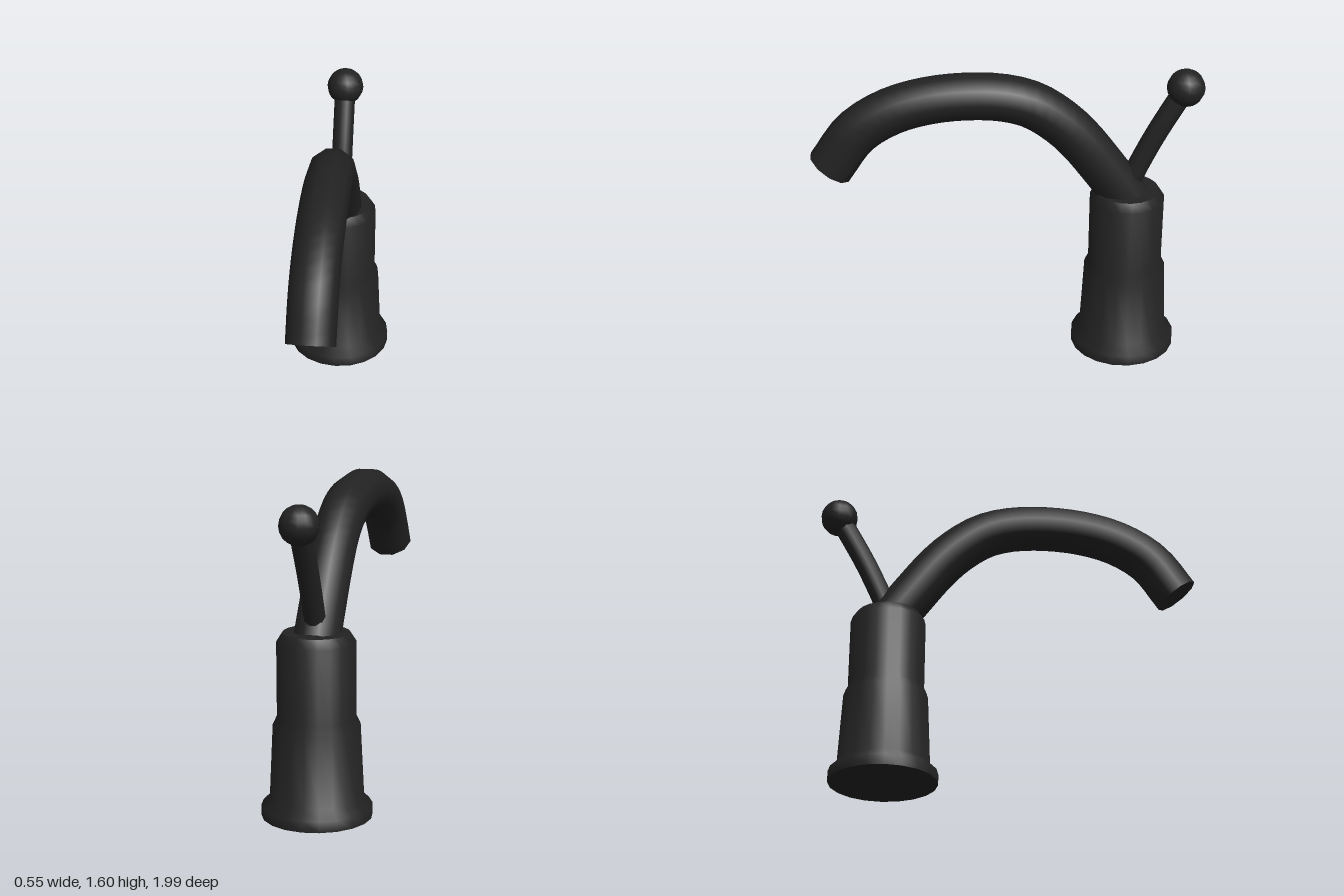
import * as THREE from 'three';
import { toCreasedNormals } from 'three/addons/utils/BufferGeometryUtils.js';

const BODY_Z = -0.625;

// smooth curve in the x = 0 plane from [z, y] pairs
function sideCurve(pairs) {
  return new THREE.CatmullRomCurve3(pairs.map(([z, y]) => new THREE.Vector3(0, y, z)));
}

export function createModel() {
  const model = new THREE.Group();
  const black = new THREE.MeshStandardMaterial({ color: 0x222222 });
  black.name = 'matte black';

  function add(name, geometry) {
    const mesh = new THREE.Mesh(geometry, black);
    mesh.name = name;
    model.add(mesh);
    return mesh;
  }

  // turned body: flange, tapered skirt, upper barrel with bevelled top
  const profile = [
    [0, 0], [0.275, 0], [0.275, 0.055], [0.233, 0.095], [0.215, 0.465],
    [0.194, 0.51], [0.194, 0.88], [0.165, 0.925], [0, 0.925],
  ].map(([r, y]) => new THREE.Vector2(r, y));
  const body = add('body', toCreasedNormals(new THREE.LatheGeometry(profile, 20), 1));
  body.position.z = BODY_Z;

  // arched spout with a closed outlet
  const spoutPath = sideCurve([
    [-0.625, 0.87], [-0.59, 0.925], [-0.48, 1.08], [-0.375, 1.218], [-0.27, 1.325],
    [-0.134, 1.42], [0.005, 1.465], [0.19, 1.481], [0.406, 1.463],
    [0.594, 1.408], [0.76, 1.302], [0.9, 1.11],
  ]);
  add('spout', new THREE.TubeGeometry(spoutPath, 30, 0.12, 10));
  const outlet = add('spoutOutlet', new THREE.CircleGeometry(0.12, 10));
  const end = spoutPath.getTangent(1);
  outlet.position.copy(spoutPath.getPoint(1));
  outlet.rotation.x = Math.atan2(-end.y, end.z);

  // slightly curved lever, closed at its foot, with a ball knob
  const leverPath = sideCurve([[-0.635, 0.96], [-0.668, 1.04], [-0.758, 1.23], [-0.86, 1.415], [-0.895, 1.475]]);
  add('lever', new THREE.TubeGeometry(leverPath, 12, 0.055, 10));
  const foot = add('leverFoot', new THREE.CircleGeometry(0.055, 10));
  const start = leverPath.getTangent(0).negate();
  foot.position.copy(leverPath.getPoint(0));
  foot.rotation.x = Math.atan2(-start.y, start.z);

  const knob = add('leverKnob', new THREE.SphereGeometry(0.097, 14, 10));
  knob.position.set(0, 1.49, -0.903);

  return model;
}
